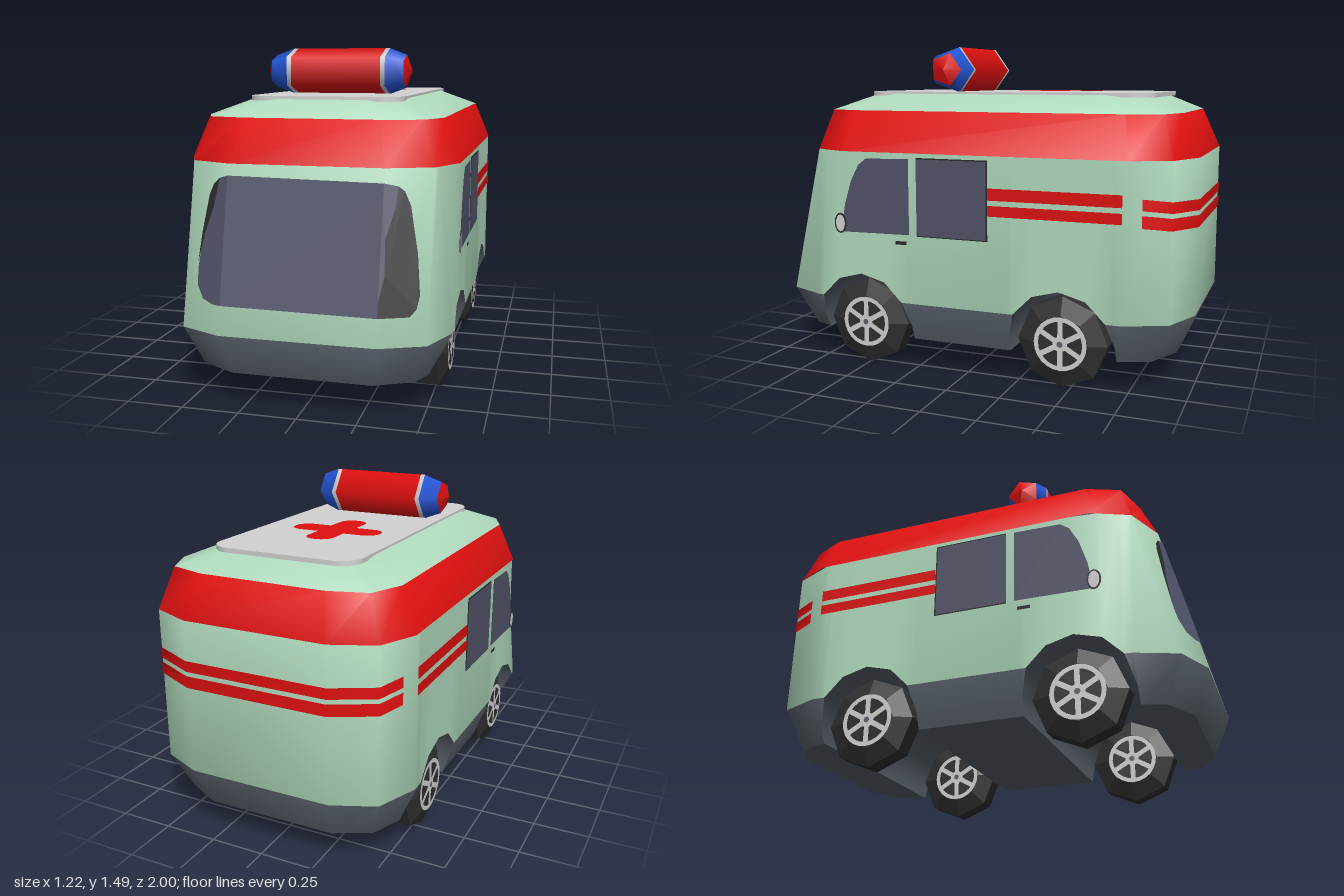
import * as THREE from 'three';
import { toCreasedNormals } from 'three/addons/utils/BufferGeometryUtils.js';

const mat = (name, color) => {
  const m = new THREE.MeshStandardMaterial({ color });
  m.name = name;
  return m;
};
const M = {
  green: mat('paleGreenPaint', 0xb2dcbf),
  red: mat('redPaint', 0xe01010),
  slate: mat('slateSkirt', 0x5b646d),
  glass: mat('tintedGlass', 0x515469),
  black: mat('blackTrim', 0x2a2a2a),
  panel: mat('lightGreyPanel', 0xd2d2d2),
  blue: mat('blueLight', 0x2456d8),
  tyre: mat('tyreRubber', 0x303030),
};

const lerp = THREE.MathUtils.lerp;
const quad = (out, a, b, c, d) => {
  for (const t of [[a, b, c], [a, c, d]]) {
    const [p, q, r] = t.map((v) => new THREE.Vector3(...v));
    if (q.sub(p).cross(r.sub(p)).length() > 1e-7) out.push(...t.flat());
  }
};
const geo = (arr) => new THREE.BufferGeometry()
  .setAttribute('position', new THREE.Float32BufferAttribute(arr, 3));
const add = (parent, name, geometry, material) => {
  const mesh = new THREE.Mesh(geometry, material);
  mesh.name = name;
  parent.add(mesh);
  return mesh;
};

// Plan outlines of the body, bottom to top: a, b, w are the half widths at a corner
const LEVELS = [
  { y: 0.14, a: 0.3, b: 0.46, w: 0.535, zf: 0.92, zr: -0.92, d: 0.08, e: 0.26 },
  { y: 0.325, a: 0.33, b: 0.52, w: 0.6, zf: 1, zr: -1, d: 0.08, e: 0.27 },
  { y: 1.015, a: 0.33, b: 0.52, w: 0.6, zf: 0.84, zr: -1, d: 0.08, e: 0.25 },
  { y: 1.2, a: 0.29, b: 0.46, w: 0.525, zf: 0.76, zr: -0.92, d: 0.05, e: 0.2 },
  { y: 1.28, a: 0.18, b: 0.28, w: 0.33, zf: 0.58, zr: -0.74, d: 0.04, e: 0.16 },
];
const halfOutline = ({ a, b, w, zf, zr, d, e }) =>
  [[a, zf], [b, zf - d], [w, zf - e], [w, zr + e], [b, zr + d], [a, zr]];
const widthAt = (level, z) => {
  const p = halfOutline(level);
  for (let i = 0; i < 5; i++) {
    if (z <= p[i][1] && z >= p[i + 1][1]) {
      return lerp(p[i][0], p[i + 1][0], (p[i][1] - z) / (p[i][1] - p[i + 1][1]));
    }
  }
  return level.a;
};

const WHEEL_Z = [0.5, -0.46], WHEEL_Y = 0.205, ARCH = 0.24;

function buildBody(root) {
  const buckets = { green: [], slate: [], red: [] };

  // Wall columns from front to rear, rising over the wheel arches
  const columns = [{ k: 0, lo: 0.14 }, { k: 1, lo: 0.14 }];
  for (const c of WHEEL_Z) {
    columns.push({ z: c + ARCH, lo: 0.14 });
    for (let i = 0; i <= 6; i++) {
      const t = (i * Math.PI) / 6;
      columns.push({ z: c + ARCH * Math.cos(t), lo: WHEEL_Y + ARCH * Math.sin(t) });
    }
    columns.push({ z: c - ARCH, lo: 0.14 });
  }
  columns.push({ z: -0.73, lo: 0.14 }, { k: 4, lo: 0.14 }, { k: 5, lo: 0.14 });

  const at = (col, y, s) => {
    const i = y < 0.325 ? 0 : 1;
    const A = LEVELS[i], B = LEVELS[i + 1], t = (y - A.y) / (B.y - A.y);
    if (col.k === undefined) return [s * lerp(widthAt(A, col.z), widthAt(B, col.z), t), y, col.z];
    const p = halfOutline(A)[col.k], q = halfOutline(B)[col.k];
    return [s * lerp(p[0], q[0], t), y, lerp(p[1], q[1], t)];
  };

  // Skirt and wall
  const ring = [...columns.map((c) => [c, 1]), ...columns.map((c) => [c, -1]).reverse()];
  ring.forEach(([c, s], i) => {
    const [n, r] = ring[(i + 1) % ring.length];
    for (const [y0, y1, key] of [[0.14, 0.325, 'slate'], [0.325, 1.015, 'green']]) {
      const p = (col, y, side) => at(col, Math.max(y, col.lo), side);
      quad(buckets[key], p(c, y0, s), p(n, y0, r), p(n, y1, r), p(c, y1, s));
    }
  });

  // Floor and wheel tunnels
  for (let i = 0; i + 1 < columns.length; i++) {
    const c = columns[i], n = columns[i + 1];
    quad(buckets.slate, at(n, n.lo, -1), at(n, n.lo, 1), at(c, c.lo, 1), at(c, c.lo, -1));
  }

  // Red band, roof shoulder and roof
  const loop = (L) => {
    const h = halfOutline(L);
    return [...h.map(([x, z]) => [x, L.y, z]), ...h.map(([x, z]) => [-x, L.y, z]).reverse()];
  };
  [[2, 'red'], [3, 'green']].forEach(([l, key]) => {
    const A = loop(LEVELS[l]), B = loop(LEVELS[l + 1]);
    A.forEach((p, i) => quad(buckets[key], p, A[(i + 1) % 12], B[(i + 1) % 12], B[i]));
  });
  const top = loop(LEVELS[4]);
  for (let i = 0; i < 5; i++) quad(buckets.green, top[i], top[i + 1], top[10 - i], top[11 - i]);

  const g = geo(Object.values(buckets).flat());
  let start = 0;
  Object.values(buckets).forEach((b, i) => {
    g.addGroup(start, b.length / 3, i);
    start += b.length / 3;
  });
  add(root, 'body', toCreasedNormals(g, 0.85), Object.keys(buckets).map((k) => M[k]));
}

// Flat outline laid onto the body by a placing rule
function decal(root, name, material, pts, place) {
  const shape = pts instanceof THREE.Shape ? pts : new THREE.Shape(pts.map((p) => new THREE.Vector2(...p)));
  const g = new THREE.ShapeGeometry(shape, 8), p = g.attributes.position;
  for (let i = 0; i < p.count; i++) p.setXYZ(i, ...place(p.getX(i), p.getY(i)));
  g.computeVertexNormals();
  add(root, name, g, material);
}
const rect = (x0, x1, y0, y1) => [[x0, y0], [x1, y0], [x1, y1], [x0, y1]];
const rounded = (x0, x1, y0, y1, r) => {
  const s = new THREE.Shape();
  s.absarc(x1 - r, y1 - r, r, 0, Math.PI / 2);
  s.absarc(x0 + r, y1 - r, r, Math.PI / 2, Math.PI);
  s.absarc(x0 + r, y0 + r, r, Math.PI, Math.PI * 1.5);
  s.absarc(x1 - r, y0 + r, r, Math.PI * 1.5, Math.PI * 2);
  return s;
};

function buildPaint(root) {
  // Windscreen, folded around the front corners
  const front = (lift) => (x, y) => [x, y,
    1 - (0.16 * (y - 0.325)) / 0.69 - (0.08 * Math.max(0, Math.abs(x) - 0.33)) / 0.19 + lift];
  decal(root, 'windscreen', M.glass, [[-0.33, 0.445], [0.33, 0.44], [0.33, 0.957], [-0.33, 0.967]], front(0.005));
  decal(root, 'windscreenRightSide', M.glass, [[-0.33, 0.967], [-0.37, 0.955], [-0.4, 0.92], [-0.435, 0.75],
    [-0.455, 0.58], [-0.452, 0.51], [-0.42, 0.46], [-0.37, 0.445], [-0.33, 0.445]], front(0.005));
  decal(root, 'windscreenRightTrim', M.black, [[-0.37, 0.955], [-0.4, 0.925], [-0.418, 0.88], [-0.443, 0.73],
    [-0.457, 0.6], [-0.43, 0.72], [-0.39, 0.84]], front(0.008));
  decal(root, 'windscreenLeftSide', M.glass, [[0.33, 0.5], [0.35, 0.6], [0.345, 0.74], [0.378, 0.86],
    [0.385, 0.945], [0.33, 0.957]], front(0.005));
  decal(root, 'windscreenLeftTrim', M.black, [[0.33, 0.44], [0.45, 0.44], [0.475, 0.47], [0.485, 0.52],
    [0.47, 0.68], [0.435, 0.87], [0.41, 0.925], [0.385, 0.945], [0.378, 0.86], [0.345, 0.74],
    [0.35, 0.6], [0.33, 0.5]], front(0.005));

  // Side windows, mirror, handle and stripes, given as z and y
  for (const s of [1, -1]) {
    const side = (name, material, pts, lift = 0.004) => decal(root, name, material,
      pts.map(([z, y]) => [-s * z, y]), (u, y) => [s * (0.6 + lift), y, -s * u]);
    const oval = (rz, ry) => Array.from({ length: 16 }, (_, i) =>
      [0.6 + rz * Math.cos((i * Math.PI) / 8), 0.68 + ry * Math.sin((i * Math.PI) / 8)]);
    side('frontSideWindow', M.glass, [[0.587, 0.64], [0.244, 0.645], [0.244, 0.99], [0.46, 0.985],
      [0.5, 0.955], [0.54, 0.88], [0.575, 0.77], [0.587, 0.7]]);
    side('rearSideWindow', M.glass, rect(-0.13, 0.206, 0.645, 0.99));
    side('rearWindowTrim', M.black, rect(-0.137, 0.206, 0.64, 0.996), 0.002);
    side('mirrorRim', M.black, oval(0.032, 0.048), 0.006);
    side('mirror', M.panel, oval(0.024, 0.04), 0.008);
    side('doorHandle', M.black, rect(0.258, 0.315, 0.598, 0.614));
    side('upperSideStripe', M.red, rect(-0.732, -0.137, 0.823, 0.876));
    side('lowerSideStripe', M.red, rect(-0.732, -0.137, 0.753, 0.8));
  }

  // Stripes around the rear corners: x, z and drop
  const half = [[0.572, -0.808, 0], [0.523, -0.924, 0.012], [0.331, -1.004, 0.02]];
  const path = [...half, ...half.map(([x, z, d]) => [-x, z, d]).reverse()];
  for (const [name, y0, y1] of [['upperRearStripe', 0.81, 0.858], ['lowerRearStripe', 0.737, 0.79]]) {
    const out = [];
    for (let i = 0; i < 5; i++) {
      const [a, b] = [path[i], path[i + 1]];
      const p = (q, y) => [q[0], y - q[2], q[1]];
      quad(out, p(a, y0), p(b, y0), p(b, y1), p(a, y1));
    }
    add(root, name, toCreasedNormals(geo(out), 0.85), M.red);
  }

  // Roof panel with a cross
  const slab = new THREE.ExtrudeGeometry(rounded(-0.345, 0.345, -0.6, 0.79, 0.1),
    { depth: 0.02, bevelEnabled: false, curveSegments: 6 });
  slab.rotateX(-Math.PI / 2).translate(0, 1.264, 0);
  add(root, 'roofPanel', slab, M.panel);
  const roof = (x, v) => [x, 1.288, -v];
  decal(root, 'crossBar', M.red, rounded(-0.226, 0.206, 0.215, 0.345, 0.06), roof);
  decal(root, 'crossPost', M.red, rounded(-0.075, 0.055, 0.064, 0.496, 0.06), roof);
}

// Five-sided light bar lying across the roof
function buildLightBar(root) {
  const bar = new THREE.Group();
  bar.name = 'lightBar';
  bar.position.set(-0.023, 1.387, 0.2);
  const piece = (name, material, x0, x1, r0, r1) => {
    const g = new THREE.CylinderGeometry(r1, r0, x1 - x0, 5, 1, true, Math.PI);
    g.rotateZ(-Math.PI / 2).translate((x0 + x1) / 2, 0, 0);
    add(bar, name, g, material);
  };
  piece('redLight', M.red, -0.213, 0.213, 0.112, 0.112);
  for (const [name, material, a, b, ra, rb] of [
    ['silverBand', M.panel, 0.213, 0.234, 0.112, 0.112],
    ['blueLight', M.blue, 0.234, 0.316, 0.112, 0.08],
    ['redEndCap', M.red, 0.316, 0.348, 0.08, 0],
  ]) {
    piece(name, material, a, b, ra, rb);
    piece(name, material, -b, -a, rb, ra);
  }
  root.add(bar);
}

// Eight-sided tyre with a spoked rim on both faces
function buildWheel(root, name, x, z) {
  const wheel = new THREE.Group();
  wheel.name = name;
  wheel.position.set(x, WHEEL_Y, z);
  const profile = [[0, -0.075], [0.125, -0.075], [0.205, -0.042], [0.205, 0.042], [0.125, 0.075], [0, 0.075]];
  const tyre = new THREE.LatheGeometry(profile.map((p) => new THREE.Vector2(...p)), 8).toNonIndexed();
  tyre.rotateZ(Math.PI / 2).computeVertexNormals();
  add(wheel, 'tyre', tyre, M.tyre);
  for (const s of [1, -1]) {
    const rim = new THREE.Group();
    rim.name = 'rim';
    rim.rotation.y = (s * Math.PI) / 2;
    add(rim, 'rimRing', new THREE.RingGeometry(0.1, 0.12, 24), M.panel).position.z = 0.078;
    for (let i = 0; i < 6; i++) {
      const spoke = new THREE.PlaneGeometry(0.024, 0.09).translate(0, 0.062, 0.078);
      add(rim, 'spoke', spoke.rotateZ((i * Math.PI) / 3), M.panel);
    }
    add(rim, 'hub', new THREE.CircleGeometry(0.034, 12), M.panel).position.z = 0.08;
    add(rim, 'hubCap', new THREE.CircleGeometry(0.014, 8), M.slate).position.z = 0.083;
    wheel.add(rim);
  }
  root.add(wheel);
}

export function createModel() {
  const root = new THREE.Group();
  root.name = 'ambulanceVan';
  buildBody(root);
  buildPaint(root);
  buildLightBar(root);
  for (const s of [1, -1]) {
    WHEEL_Z.forEach((z, i) => buildWheel(root, i ? 'rearWheel' : 'frontWheel', s * 0.487, z));
  }
  return root;
}
